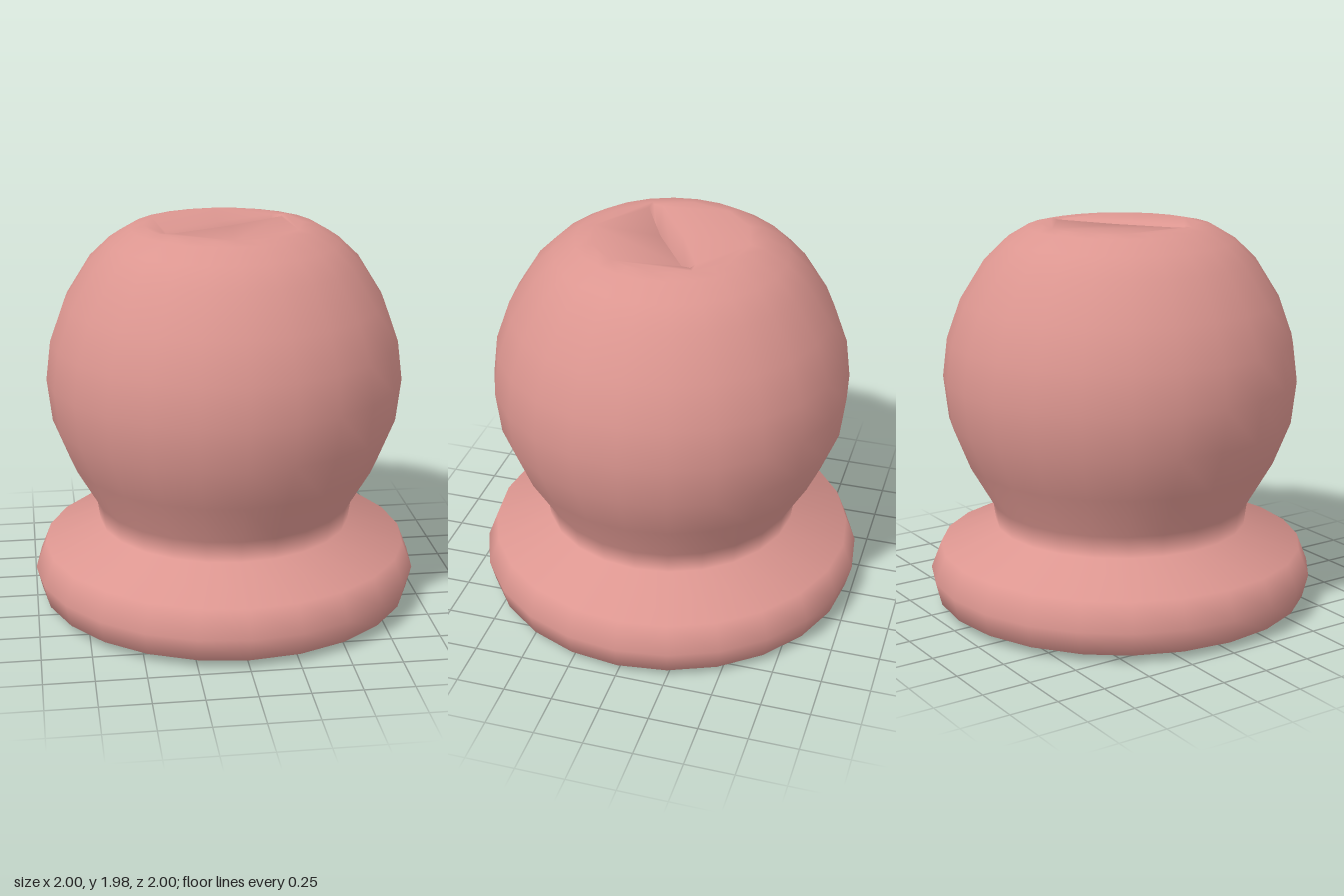
import * as THREE from 'three';
import { mergeGeometries, mergeVertices } from 'three/addons/utils/BufferGeometryUtils.js';

const SIDES = 24;
const TOP = 1.98;

// Base, neck and ball, from the underside up to the rim of the flat top
const PROFILE = [
  [0, 0], [0.88, 0.005], [0.97, 0.045], [1, 0.165], [0.945, 0.305], [0.655, 0.42],
  [0.67, 0.535], [0.8, 0.76], [0.887, 0.98], [0.912, 1.2], [0.887, 1.4], [0.815, 1.6],
  [0.69, 1.8], [0.585, 1.9], [0.475, 1.965], [0.4, TOP],
];

// Slot outline: along, across
const SLOT = [
  [0.37, 0], [0.34, 0.035], [0, 0.055], [-0.34, 0.035],
  [-0.37, 0], [-0.34, -0.035], [0, -0.055], [0.34, -0.035],
];

// Slot outline turned 30 degrees, seen from above
function slotLoop(alongScale, acrossScale) {
  return SLOT.map(([u, v]) => new THREE.Vector2(u * alongScale, v * acrossScale)
    .rotateAround(new THREE.Vector2(), Math.PI / 6));
}

function flatCap(points, y, hole) {
  const shape = new THREE.Shape(points);
  if (hole) shape.holes.push(new THREE.Path(hole));
  return new THREE.ShapeGeometry(shape).rotateX(-Math.PI / 2).translate(0, y, 0);
}

// Sloping walls between the slot's mouth and its narrow floor
function slotWalls(mouth, floor, depth) {
  const n = mouth.length;
  const positions = [];
  const index = [];
  mouth.forEach((p) => positions.push(p.x, TOP, -p.y));
  floor.forEach((p) => positions.push(p.x, TOP - depth, -p.y));
  for (let i = 0; i < n; i++) {
    const j = (i + 1) % n;
    index.push(i, j, n + i, j, n + j, n + i);
  }
  const geometry = new THREE.BufferGeometry();
  geometry.setAttribute('position', new THREE.Float32BufferAttribute(positions, 3));
  geometry.setIndex(index);
  return geometry;
}

export function createModel() {
  const group = new THREE.Group();
  group.name = 'slottedKnob';
  const rosePink = new THREE.MeshStandardMaterial({ color: 0xdc9690 });
  rosePink.name = 'rosePink';

  const rim = [];
  const rimRadius = PROFILE[PROFILE.length - 1][0];
  for (let i = 0; i < SIDES; i++) {
    const a = (i / SIDES) * Math.PI * 2;
    rim.push(new THREE.Vector2(Math.cos(a) * rimRadius, Math.sin(a) * rimRadius));
  }
  const depth = 0.14;
  const mouth = slotLoop(1, 1);
  const floor = slotLoop(0.9, 0.2);

  // Weld everything so the whole knob shades smoothly
  const parts = [
    new THREE.LatheGeometry(PROFILE.map(([x, y]) => new THREE.Vector2(x, y)), SIDES),
    flatCap(rim, TOP, mouth),
    slotWalls(mouth, floor, depth),
    flatCap(floor, TOP - depth),
  ];
  parts.forEach((g) => {
    g.deleteAttribute('uv');
    g.deleteAttribute('normal');
  });
  const geometry = mergeVertices(mergeGeometries(parts), 1e-4);
  geometry.computeVertexNormals();

  const knob = new THREE.Mesh(geometry, rosePink);
  knob.name = 'knob';
  group.add(knob);
  return group;
}
